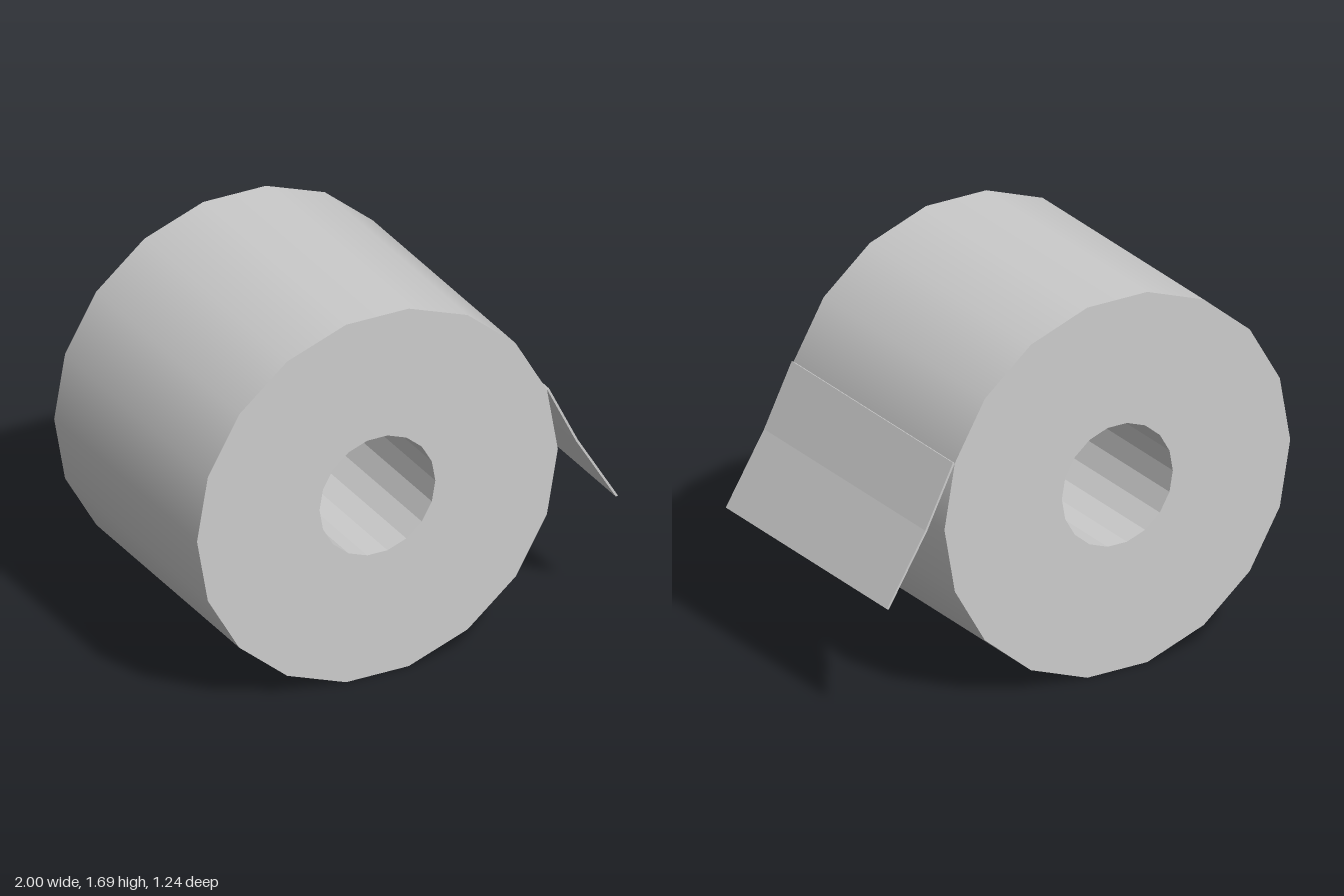
import * as THREE from 'three';

const SIDES = 18, OUTER = 0.857, INNER = 0.275, HALF = 0.62;
const CENTRE = new THREE.Vector3(-0.143, OUTER * Math.cos(Math.PI / SIDES), 0);

function material(options = {}) {
  return new THREE.MeshStandardMaterial({ color: 0xcccccc, ...options });
}

function addMesh(parent, name, geometry, mat) {
  const mesh = new THREE.Mesh(geometry, mat);
  mesh.name = name;
  parent.add(mesh);
  return mesh;
}

// Tube wall along z; running the profile downwards turns it to face inwards
function wall(radius, direction) {
  const profile = [-HALF, HALF].map((h) => new THREE.Vector2(radius, h * direction));
  return new THREE.LatheGeometry(profile, SIDES, Math.PI / 2).rotateX(Math.PI / 2);
}

export function createModel() {
  const model = new THREE.Group();
  model.name = 'paperRoll';

  // Roll: smooth outside, faceted core hole, flat ring ends
  const roll = new THREE.Group();
  roll.name = 'roll';
  roll.position.copy(CENTRE);
  model.add(roll);
  addMesh(roll, 'outerWall', wall(OUTER, 1), material());
  addMesh(roll, 'coreHole', wall(INNER, -1), material({ flatShading: true }));
  for (const side of [1, -1]) {
    const end = addMesh(roll, side > 0 ? 'frontEnd' : 'backEnd',
      new THREE.RingGeometry(INNER, OUTER, SIDES), material());
    end.position.z = side * HALF;
    if (side < 0) end.rotation.y = Math.PI;
  }

  // Loose sheet hanging from the roll, bent once
  const path = [[0.663, 1.137], [0.8, 0.86], [0.99, 0.548]];
  const offset = [0.009, 0.004];
  const outline = [
    ...path,
    ...path.map(([x, y]) => [x + offset[0], y + offset[1]]).reverse(),
  ].map(([x, y]) => new THREE.Vector2(x, y));
  const sheet = new THREE.ExtrudeGeometry(new THREE.Shape(outline), {
    depth: HALF * 2, bevelEnabled: false,
  }).translate(0, 0, -HALF);
  addMesh(model, 'looseSheet', sheet, material({ flatShading: true }));

  return model;
}
